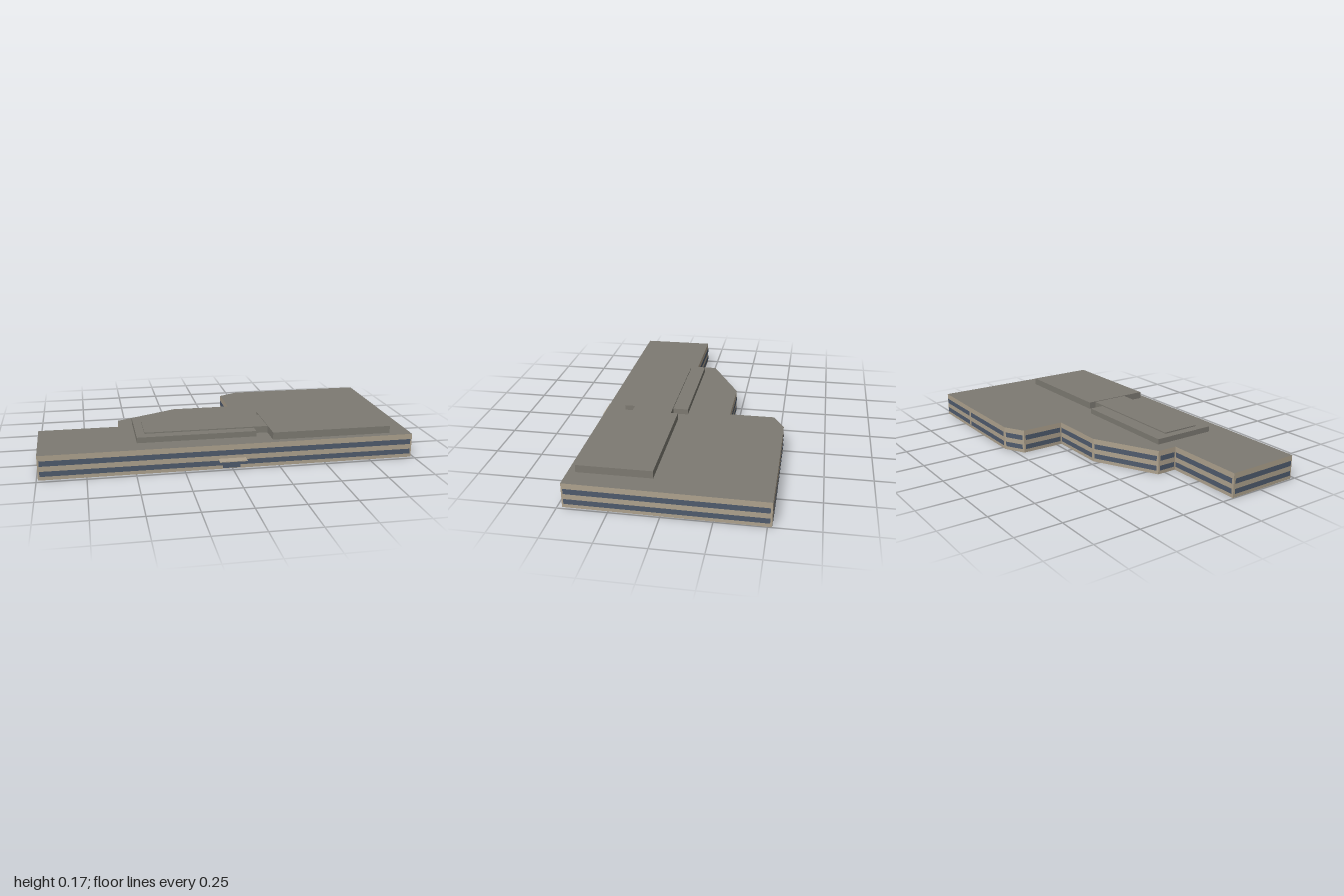
import * as THREE from 'three';

const material = (name, color, side = THREE.FrontSide) =>
  new THREE.MeshStandardMaterial({ name, color, side });

export function createModel() {
  const model = new THREE.Group();
  model.name = 'building';

  const wallMat = material('beige wall', 0xaea28e, THREE.DoubleSide);
  const roofMat = material('grey roof', 0x7d7a72, THREE.DoubleSide);
  const glassMat = material('blue glass', 0x4f5b6d);

  const ROOF_Y = 0.13;

  // Footprint corners [x, z], running along the front wall to +x, then around the back
  const footprint = [
    [-0.992, 0.476], [0.986, 0.476], [0.997, -0.521], [0.66, -0.524], [0.222, -0.524],
    [0.11, -0.463], [0.11, -0.22], [-0.217, -0.22], [-0.56, -0.045], [-0.56, 0.067], [-0.997, 0.067],
  ];

  const add = (parent, name, geometry, mat) => {
    const mesh = new THREE.Mesh(geometry, mat);
    mesh.name = name;
    parent.add(mesh);
    return mesh;
  };

  // Upright panel along one footprint edge, facing outwards
  const panel = (parent, name, mat, a, b, y0, y1, inset, offset) => {
    const dx = b[0] - a[0], dz = b[1] - a[1];
    const angle = Math.atan2(-dz, dx);
    const mesh = add(parent, name, new THREE.PlaneGeometry(Math.hypot(dx, dz) - 2 * inset, y1 - y0), mat);
    mesh.rotation.y = angle;
    mesh.position.set(
      (a[0] + b[0]) / 2 + Math.sin(angle) * offset,
      (y0 + y1) / 2,
      (a[1] + b[1]) / 2 + Math.cos(angle) * offset);
  };

  // Walls, open underneath, with two window bands on every side
  const walls = new THREE.Group();
  walls.name = 'walls';
  const windows = new THREE.Group();
  windows.name = 'windowBands';
  model.add(walls, windows);
  footprint.forEach((a, i) => {
    const b = footprint[(i + 1) % footprint.length];
    panel(walls, 'wall', wallMat, a, b, 0, ROOF_Y, 0, 0);
    for (const [y0, y1] of [[0.02, 0.047], [0.074, 0.102]]) {
      panel(windows, 'windowBand', glassMat, a, b, y0, y1, 0.009, 0.003);
    }
  });

  // Flat main roof
  const outline = new THREE.Shape(footprint.map(([x, z]) => new THREE.Vector2(x, -z)));
  const roof = add(model, 'mainRoof', new THREE.ShapeGeometry(outline), roofMat);
  roof.rotation.x = -Math.PI / 2;
  roof.position.y = ROOF_Y;

  // Box given by its limits on each axis
  const block = (name, mat, x0, x1, y0, y1, z0, z1) => {
    const mesh = add(model, name, new THREE.BoxGeometry(x1 - x0, y1 - y0, z1 - z0), mat);
    mesh.position.set((x0 + x1) / 2, (y0 + y1) / 2, (z0 + z1) / 2);
  };

  // Raised roof sections; the middle strip links the two larger blocks
  block('lowRoofBlock', roofMat, -0.485, 0.15, ROOF_Y, 0.16, 0.012, 0.368);
  block('roofLink', roofMat, -0.44, 0.225, ROOF_Y, 0.166, 0.095, 0.31);
  block('highRoofBlock', roofMat, 0.225, 0.873, ROOF_Y, 0.169, 0.055, 0.437);

  // Front entrance
  block('entranceCanopy', wallMat, -0.075, 0.07, 0.052, 0.056, 0.476, 0.525);
  block('entranceDoor', glassMat, -0.05, 0.04, 0.005, 0.037, 0.476, 0.481);

  return model;
}
